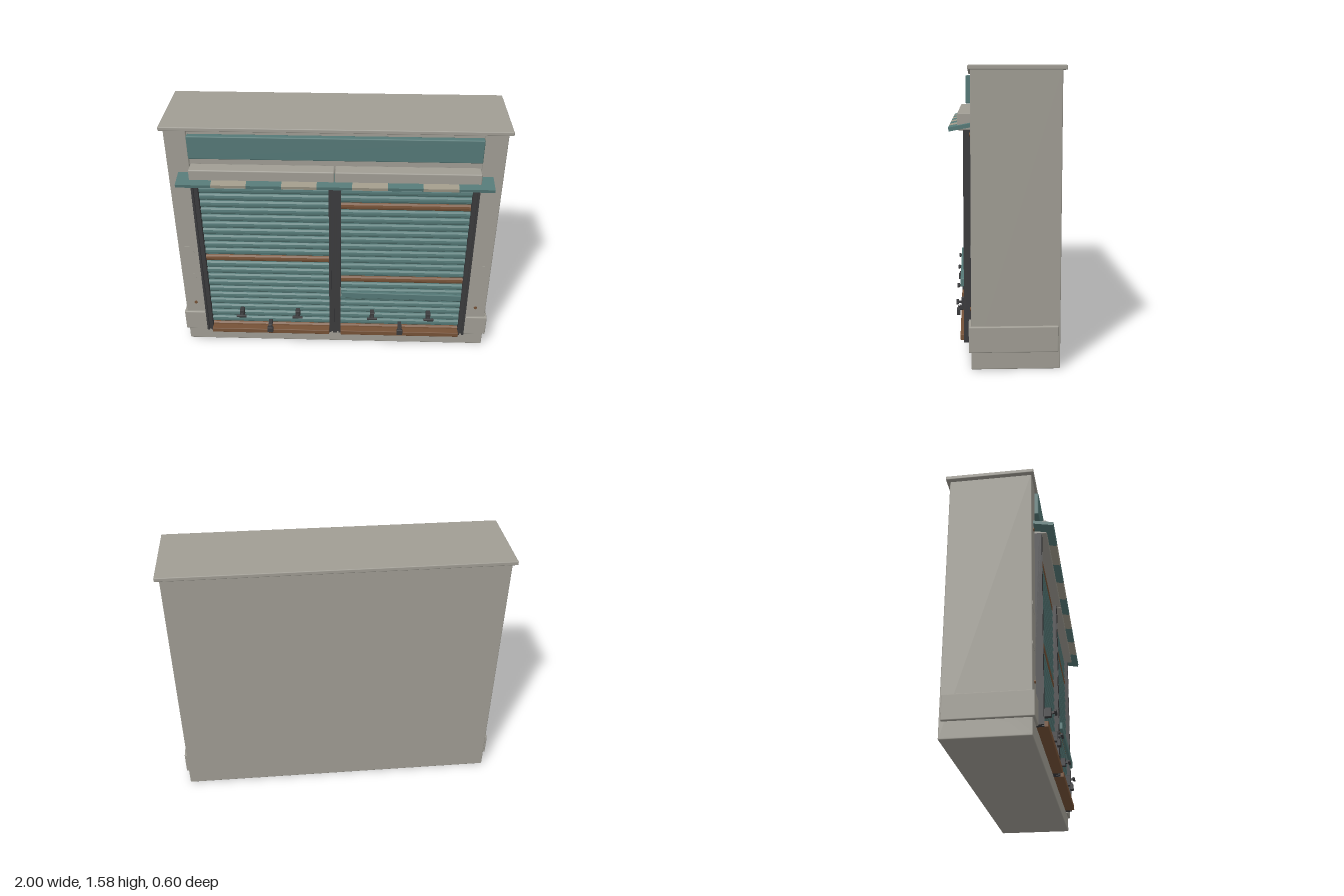
import * as THREE from 'three';
import { RoundedBoxGeometry } from 'three/addons/geometries/RoundedBoxGeometry.js';

const mat = (name, color) => {
  const m = new THREE.MeshStandardMaterial({ color });
  m.name = name;
  return m;
};

export function createModel() {
  const stone = mat('warm grey stone', 0xa09d94);
  const teal = mat('faded teal', 0x557977);
  const rust = mat('rust brown', 0x765237);
  const iron = mat('dark iron', 0x3b3b3d);
  const cream = mat('dusty cream', 0xa09a8a);

  const root = new THREE.Group();
  root.name = 'shutteredShopfront';

  const add = (name, geometry, material, parent = root) => {
    const mesh = new THREE.Mesh(geometry, material);
    mesh.name = name;
    parent.add(mesh);
    return mesh;
  };
  // Box given by its limits on each axis, with an optional softened edge
  const box = (name, material, [x0, x1], [y0, y1], [z0, z1], bevel = 0, parent = root) => {
    const w = x1 - x0, h = y1 - y0, d = z1 - z0;
    const g = bevel ? new RoundedBoxGeometry(w, h, d, 1, bevel) : new THREE.BoxGeometry(w, h, d);
    const mesh = add(name, g, material, parent);
    mesh.position.set((x0 + x1) / 2, (y0 + y1) / 2, (z0 + z1) / 2);
    return mesh;
  };
  const span = (s, a, b) => (s > 0 ? [a, b] : [-b, -a]);

  // Masonry: core, plinth and roof slab
  box('wallCore', stone, [-0.97, 0.97], [0.005, 1.56], [-0.28, 0.172]);
  box('plinth', stone, [-0.975, 0.975], [0, 0.1], [-0.28, 0.187], 0.006);
  box('roofSlab', stone, [-1, 1], [1.556, 1.58], [-0.3, 0.2], 0.005);
  for (const s of [-1, 1]) {
    box('pilaster', stone, span(s, 0.845, 0.975), [0.005, 1.56], [-0.28, 0.187], 0.005);
    box('pilasterFoot', stone, span(s, 0.845, 0.99), [0.095, 0.235], [-0.27, 0.2], 0.006);
    for (const y of [0.31, 1.23]) {
      const g = new THREE.CylinderGeometry(0.01, 0.01, 0.008, 10).rotateX(Math.PI / 2);
      add('anchorBolt', g, rust).position.set(s * 0.908, y, 0.189);
    }
  }

  // Faint trapezoid patches on the pilasters
  const patch = new THREE.Shape([[-0.045, -0.025], [0.045, -0.025], [0.028, 0.025], [-0.028, 0.025]]
    .map(([x, y]) => new THREE.Vector2(x, y)));
  const patchGeometry = new THREE.ExtrudeGeometry(patch, { depth: 0.002, bevelEnabled: false });
  for (const [x, y] of [[-0.925, 0.73], [-0.925, 0.52], [0.907, 0.83], [0.907, 0.62], [0.907, 0.41]]) {
    add('plasterPatch', patchGeometry, stone).position.set(x, y, 0.186);
  }

  // Blank sign panel and shutter housings
  box('signPanel', teal, [-0.843, 0.843], [1.385, 1.53], [0.17, 0.21], 0.006);
  for (const s of [-1, 1]) {
    box('shutterHousing', stone, span(s, 0.002, 0.842), [1.247, 1.337], [0.17, 0.255], 0.007);
  }

  // Striped awning, sloping down to the front
  const awning = new THREE.Group();
  awning.name = 'awning';
  const stripe = 1.83 / 9;
  for (let i = 0; i < 9; i++) {
    const x = -0.915 + i * stripe;
    box('awningStripe', i % 2 ? cream : teal, [x, x + stripe], [-0.01, 0.01], [-0.062, 0.062], 0, awning);
  }
  awning.position.set(0, 1.267, 0.237);
  awning.rotation.x = 0.19;
  root.add(awning);

  // Rolling shutters
  const slatCount = 23, bottom = 0.108, top = 1.247;
  const pitch = (top - bottom) / slatCount;
  const width = 0.77;
  const profile = new THREE.Shape([[0.17, 0.003], [0.192, 0.003], [0.201, 0.012],
    [0.203, pitch / 2], [0.201, pitch - 0.012], [0.192, pitch - 0.003], [0.17, pitch - 0.003]]
    .map(([x, y]) => new THREE.Vector2(x, y)));
  const slat = new THREE.ExtrudeGeometry(profile, { depth: width, bevelEnabled: false })
    .translate(0, 0, -width / 2).rotateY(-Math.PI / 2);

  const makeShutter = (cx, rustySlats) => {
    const shutter = new THREE.Group();
    shutter.name = 'rollingShutter';
    shutter.position.x = cx;
    root.add(shutter);
    box('shutterBacking', teal, [-0.385, 0.385], [bottom, top], [0.17, 0.186], 0, shutter);
    for (let i = 0; i < slatCount; i++) {
      add('slat', slat, rustySlats.includes(i) ? rust : teal, shutter).position.y = bottom + i * pitch;
    }
    box('bottomBar', rust, [-0.385, 0.385], [0.104, 0.137], [0.18, 0.245], 0.004, shutter);

    // Lift handles
    for (const x of [-0.181, 0.181]) {
      box('handlePlate', iron, [x - 0.014, x + 0.014], [0.236, 0.289], [0.2, 0.24], 0.003, shutter);
      box('handleStem', iron, [x - 0.007, x + 0.007], [0.256, 0.268], [0.235, 0.262], 0, shutter);
      box('handleGrip', iron, [x - 0.032, x + 0.032], [0.255, 0.269], [0.256, 0.27], 0.003, shutter);
    }
    // Hasp and padlock
    box('hasp', iron, [-0.012, 0.012], [0.163, 0.19], [0.2, 0.256], 0.003, shutter);
    box('padlockBody', iron, [-0.019, 0.019], [0.133, 0.172], [0.25, 0.272], 0.004, shutter);
    add('padlockShackle', new THREE.TorusGeometry(0.012, 0.004, 6, 12, Math.PI), iron, shutter)
      .position.set(0, 0.172, 0.261);
  };
  makeShutter(-0.422, [0, 11, 22]);
  makeShutter(0.422, [0, 8, 19]);

  // Loose, slightly tilted slat on one shutter
  const loose = box('looseSlat', teal, [0.042, 0.8], [0.408, 0.452], [0.222, 0.243], 0.004);
  loose.rotation.z = -0.014;

  // Guide rails: a recessed web between two raised lips
  const rail = (a, b) => {
    box('railWeb', iron, [a, b], [0.105, 1.25], [0.17, 0.212]);
    box('railLip', iron, [a, a + 0.013], [0.105, 1.25], [0.17, 0.225]);
    box('railLip', iron, [b - 0.013, b], [0.105, 1.25], [0.17, 0.225]);
  };
  rail(-0.845, -0.805);
  rail(0.805, 0.845);
  rail(-0.036, -0.001);
  rail(0.001, 0.036);
  box('centrePost', iron, [-0.014, 0.014], [0.12, 1.25], [0.17, 0.222]);

  return root;
}
